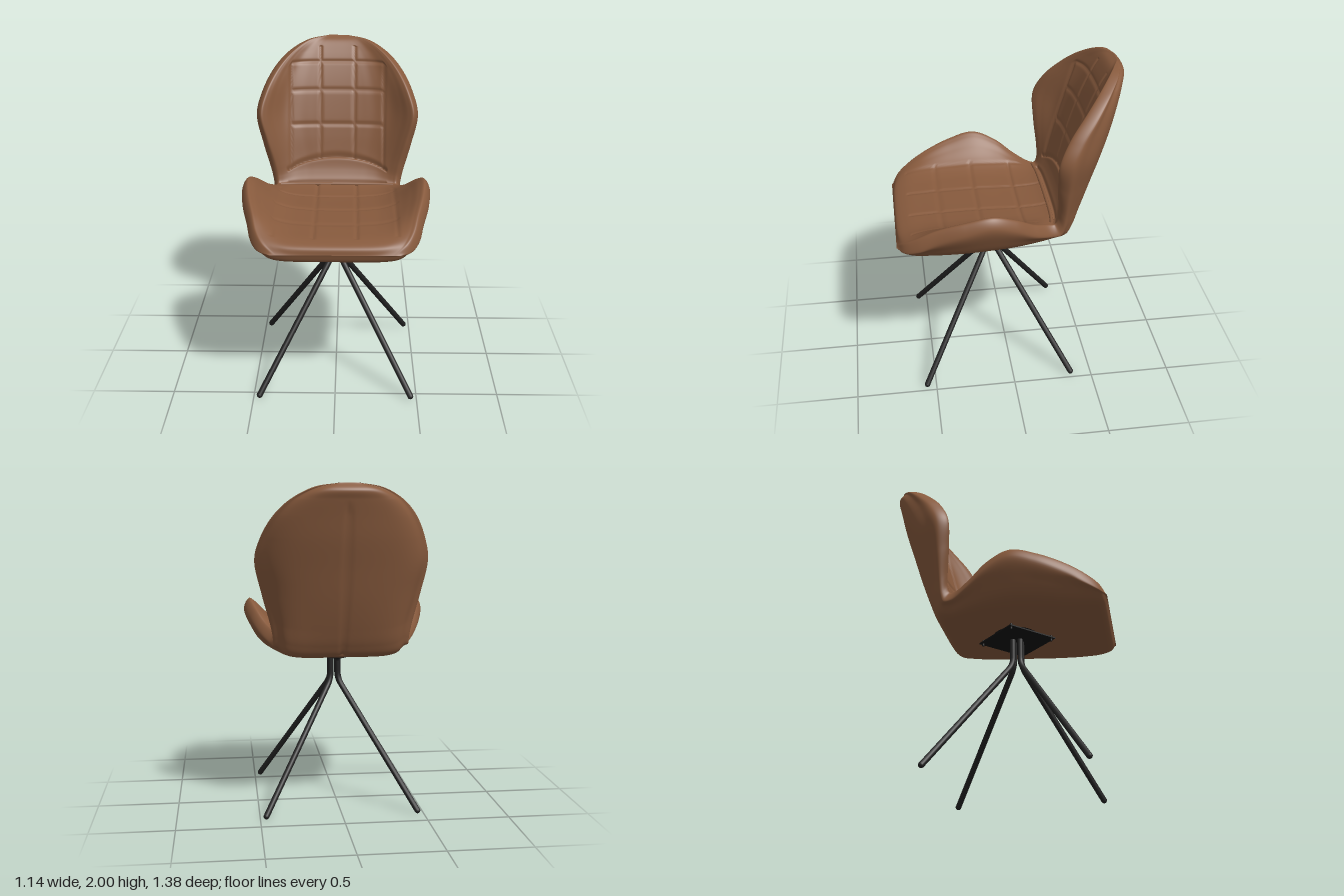
import * as THREE from 'three';

const leather = new THREE.MeshStandardMaterial({ color: 0x875a3d });
leather.name = 'brown leather';
const steel = new THREE.MeshStandardMaterial({ color: 0x222222 });
steel.name = 'dark steel';
const plateBlack = new THREE.MeshStandardMaterial({ color: 0x131313 });
plateBlack.name = 'black plate';

const HUB_Z = 0.095;

// Shell stations from seat front to back top:
// inner centre z,y | outer centre z,y | half width | rim z,y
// The first and last stations close the shell to a line.
const STATIONS = [
  [0.69, 1.02, 0.69, 1.02, 0.37, 0.69, 1.02],
  [0.68, 1.055, 0.668, 0.972, 0.44, 0.65, 1.07],
  [0.62, 1.08, 0.6, 0.952, 0.485, 0.58, 1.12],
  [0.5, 1.09, 0.48, 0.945, 0.515, 0.47, 1.185],
  [0.3, 1.095, 0.3, 0.955, 0.555, 0.3, 1.25],
  [0.14, 1.095, 0.14, 0.965, 0.567, 0.14, 1.285],
  [0, 1.09, 0, 0.965, 0.535, 0, 1.235],
  [-0.12, 1.09, -0.14, 0.965, 0.475, -0.12, 1.155],
  [-0.22, 1.1, -0.26, 0.965, 0.42, -0.21, 1.115],
  [-0.275, 1.12, -0.34, 0.985, 0.41, -0.25, 1.11],
  [-0.315, 1.18, -0.385, 1.05, 0.41, -0.265, 1.15],
  [-0.345, 1.27, -0.43, 1.15, 0.425, -0.265, 1.23],
  [-0.378, 1.4, -0.495, 1.32, 0.475, -0.25, 1.4],
  [-0.42, 1.55, -0.56, 1.52, 0.515, -0.25, 1.57],
  [-0.468, 1.7, -0.615, 1.69, 0.48, -0.31, 1.7],
  [-0.517, 1.82, -0.65, 1.82, 0.41, -0.41, 1.82],
  [-0.562, 1.91, -0.675, 1.91, 0.32, -0.5, 1.91],
  [-0.605, 1.972, -0.688, 1.96, 0.2, -0.585, 1.978],
  [-0.65, 2.0, -0.65, 2.0, 0.06, -0.65, 2.0],
];
const SEGS = STATIONS.length - 1;
const curveOf = (fn) => new THREE.CatmullRomCurve3(STATIONS.map(fn));
const innerLine = curveOf((s) => new THREE.Vector3(0, s[1], s[0]));
const outerLine = curveOf((s) => new THREE.Vector3(0, s[3], s[2]));
const rimLine = curveOf((s) => new THREE.Vector3(s[4], s[6], s[5]));

// Half section rules: fraction of width, then blend from centre to rim
const INNER = [[0, 0], [0.2, 0.01], [0.35, 0.04], [0.5, 0.1], [0.65, 0.27], [0.79, 0.63], [0.88, 0.9], [0.94, 1]];
// Outer rules carry one blend for the seat and a rounder one for the back
const OUTER = [[0.92, 0.42, 0.55], [0.82, 0.16, 0.33], [0.67, 0.04, 0.17], [0.4, 0, 0.05], [0, 0, 0]];

// Closed cross-section at station position v
function section(v) {
  const t = v / SEGS;
  const c = innerLine.getPoint(t), o = outerLine.getPoint(t), e = rimLine.getPoint(t);
  const w = e.x;
  e.x = 0;
  const dir = c.clone().sub(o);
  const r = Math.min(0.07, dir.length() * 0.5);
  dir.normalize();
  const back = THREE.MathUtils.smoothstep(v, 9, 12.5);
  const place = (from, f, k) => from.clone().lerp(e, k).setX(f * w);
  const half = [
    ...INNER.map(([f, k]) => place(c, f, k)),
    e.clone().addScaledVector(dir, -r).setX(w),
    ...OUTER.map(([f, seatK, backK]) => place(o, f, THREE.MathUtils.lerp(seatK, backK, back))),
  ];
  const other = half.slice(1, -1).reverse().map((p) => new THREE.Vector3(-p.x, p.y, p.z));
  const loop = new THREE.CatmullRomCurve3([...half, ...other], true);
  return { loop, dir, count: half.length + other.length };
}

const bump = (d, s) => Math.exp(-(d * d) / (s * s));

// Depth of the stitched seams on the inner face
function innerSeam(p, v) {
  const x = Math.abs(p.x);
  const arc = 11 - 6 * x * x; // lower back seam bows down towards the sides
  let g = 0;
  if (v < 8.6) {
    if (x < 0.37) for (const z of [0.41, 0.18, -0.07]) g = Math.max(g, bump(p.z - z, 0.01));
    if (p.z < 0.6) g = Math.max(g, bump(x - 0.125, 0.009), 0.5 * bump(x - 0.36, 0.01));
  } else if (v > arc) {
    if (x < 0.3) for (const y of [1.47, 1.68, 1.85]) g = Math.max(g, bump(p.y - y, 0.01));
    if (p.y < 1.94) g = Math.max(g, bump(x - 0.11, 0.009), bump(x - 0.3, 0.009));
  }
  return 0.008 * g + 0.016 * bump(v - arc, 0.13) + 0.014 * bump(v - 8.9, 0.2);
}

function shellGeometry() {
  const rows = SEGS * 14, perPoint = 8;
  const pos = [], index = [];
  let n = 0;
  for (let i = 0; i <= rows; i++) {
    const v = (i / rows) * SEGS;
    const { loop, dir, count } = section(v);
    n = count * perPoint;
    for (let j = 0; j < n; j++) {
      const p = loop.getPoint(j / n);
      const k = Math.min(j, n - j) / perPoint;
      if (k < 5) p.addScaledVector(dir, -innerSeam(p, v));
      // centre seam down the rear, fading out near the top
      if (k > 12 && v > 9) p.addScaledVector(dir, 0.01 * bump(p.x, 0.012) * THREE.MathUtils.smoothstep(16 - v, 0, 1));
      pos.push(p.x, p.y, p.z);
      if (i < rows) {
        const a = i * n + j, b = i * n + ((j + 1) % n);
        index.push(a, b, a + n, b, b + n, a + n);
      }
    }
  }
  const geo = new THREE.BufferGeometry();
  geo.setAttribute('position', new THREE.Float32BufferAttribute(pos, 3));
  geo.setIndex(index);
  geo.computeVertexNormals();
  return geo;
}

// Welt that follows the inner face at station position v
function weltGeometry(v) {
  const { loop, count } = section(v);
  const pts = [];
  for (let k = -6; k <= 6; k += 0.5) pts.push(loop.getPoint((k / count + 1) % 1));
  return new THREE.TubeGeometry(new THREE.CatmullRomCurve3(pts), 60, 0.011, 8);
}

function add(parent, name, geo, mat, x = 0, y = 0, z = 0) {
  const mesh = new THREE.Mesh(geo, mat);
  mesh.name = name;
  mesh.position.set(x, y, z);
  parent.add(mesh);
  return mesh;
}

// One bent leg: short upright, tight bend, long splayed run
function legGeometry(sx, sz) {
  const at = (r, y) => new THREE.Vector3(sx * r, y, sz * r);
  const path = new THREE.CurvePath();
  path.add(new THREE.LineCurve3(at(0.023, 0.94), at(0.023, 0.81)));
  path.add(new THREE.QuadraticBezierCurve3(at(0.023, 0.81), at(0.023, 0.765), at(0.048, 0.724)));
  path.add(new THREE.LineCurve3(at(0.048, 0.724), at(0.464, 0.016)));
  return new THREE.TubeGeometry(path, 60, 0.018, 12);
}

export function createModel() {
  const model = new THREE.Group();
  model.name = 'swivelChair';

  add(model, 'seatShell', shellGeometry(), leather);
  add(model, 'rearWelt', weltGeometry(8.5), leather);

  const base = new THREE.Group();
  base.name = 'base';
  base.position.z = HUB_Z;
  model.add(base);

  // Mounting plate set diagonally, with a bolt at each corner
  add(base, 'mountPlate', new THREE.BoxGeometry(0.34, 0.008, 0.34), plateBlack, 0, 0.937, 0).rotation.y = Math.PI / 4;
  add(base, 'swivelDisc', new THREE.CylinderGeometry(0.16, 0.12, 0.03, 32), plateBlack, 0, 0.957, 0);
  for (let i = 0; i < 4; i++) {
    const a = (i * Math.PI) / 2;
    add(base, 'bolt', new THREE.CylinderGeometry(0.008, 0.008, 0.036, 10), plateBlack,
      0.215 * Math.cos(a), 0.937, 0.215 * Math.sin(a));
  }

  // Four splayed legs with closed feet
  for (const sx of [-1, 1]) for (const sz of [-1, 1]) {
    add(base, 'leg', legGeometry(sx, sz), steel);
    add(base, 'foot', new THREE.SphereGeometry(0.018, 12, 8), steel, sx * 0.463, 0.018, sz * 0.463);
  }
  return model;
}
